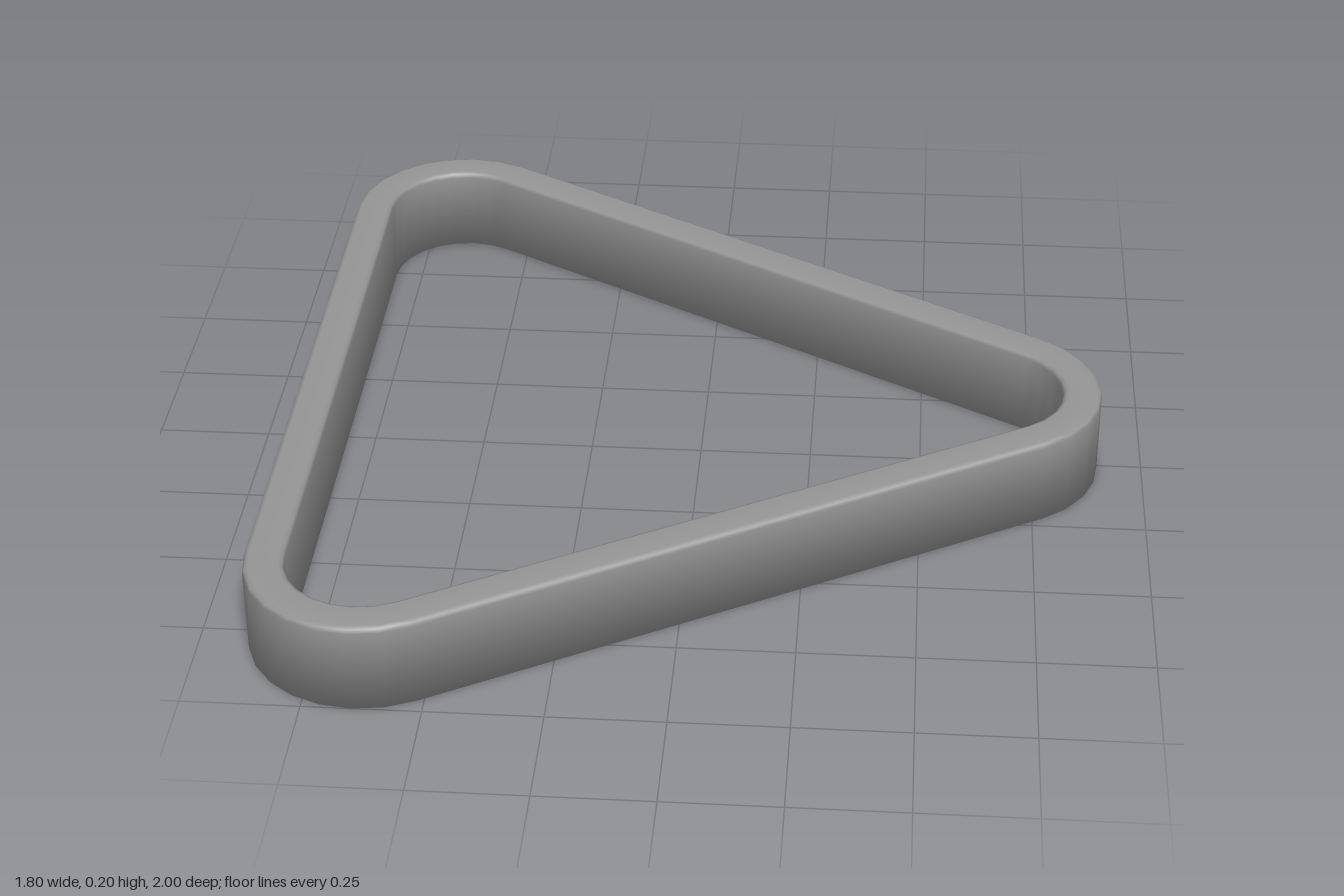
import * as THREE from 'three';

// Rounded-triangle path: three corner arcs joined by straight sides
const CORNER_DIST = 0.859, OUTER_R = 0.256, CENTRE_X = -0.2145;
const WALL = 0.086, HEIGHT = 0.2, ARC_STEPS = 8;

// Wall cross-section as [inset from outer face, height, normal angle in degrees], counterclockwise:
// soft square foot, small rounded edges on top
function wallSection() {
  const b = 0.012, m = b * 0.3;
  return [
    [WALL, 0, 225], [0, 0, -45],
    [0, HEIGHT - b, 3], [m, HEIGHT - m, 45], [b, HEIGHT, 85],
    [WALL - b, HEIGHT, 95], [WALL - m, HEIGHT - m, 135], [WALL, HEIGHT - b, 177],
  ];
}

function frameGeometry() {
  const section = wallSection(), n = section.length;
  const positions = [], normals = [], indices = [];
  // One ring of section points at every step around each corner
  for (let k = 0; k < 3; k++) {
    const corner = (k * 2 * Math.PI) / 3;
    const cx = CORNER_DIST * Math.cos(corner) + CENTRE_X;
    const cz = -CORNER_DIST * Math.sin(corner);
    for (let i = 0; i <= ARC_STEPS; i++) {
      const a = corner + (i / ARC_STEPS - 0.5) * (2 * Math.PI / 3);
      for (const [inset, y, degrees] of section) {
        const r = OUTER_R - inset, tilt = THREE.MathUtils.degToRad(degrees);
        positions.push(cx + r * Math.cos(a), y, cz - r * Math.sin(a));
        normals.push(Math.cos(tilt) * Math.cos(a), Math.sin(tilt), -Math.cos(tilt) * Math.sin(a));
      }
    }
  }
  // Join neighbouring rings, closing the loop
  const rings = 3 * (ARC_STEPS + 1);
  for (let i = 0; i < rings; i++) {
    const i2 = (i + 1) % rings;
    for (let j = 0; j < n; j++) {
      const j2 = (j + 1) % n;
      const p = i * n + j, q = i2 * n + j, r = i2 * n + j2, s = i * n + j2;
      indices.push(p, q, r, p, r, s);
    }
  }
  const geometry = new THREE.BufferGeometry();
  geometry.setAttribute('position', new THREE.Float32BufferAttribute(positions, 3));
  geometry.setAttribute('normal', new THREE.Float32BufferAttribute(normals, 3));
  geometry.setIndex(indices);
  return geometry;
}

export function createModel() {
  const group = new THREE.Group();
  group.name = 'triangleRack';
  const frame = new THREE.Mesh(frameGeometry(), new THREE.MeshStandardMaterial({ color: 0x959595 }));
  frame.name = 'triangularFrame';
  group.add(frame);
  return group;
}
